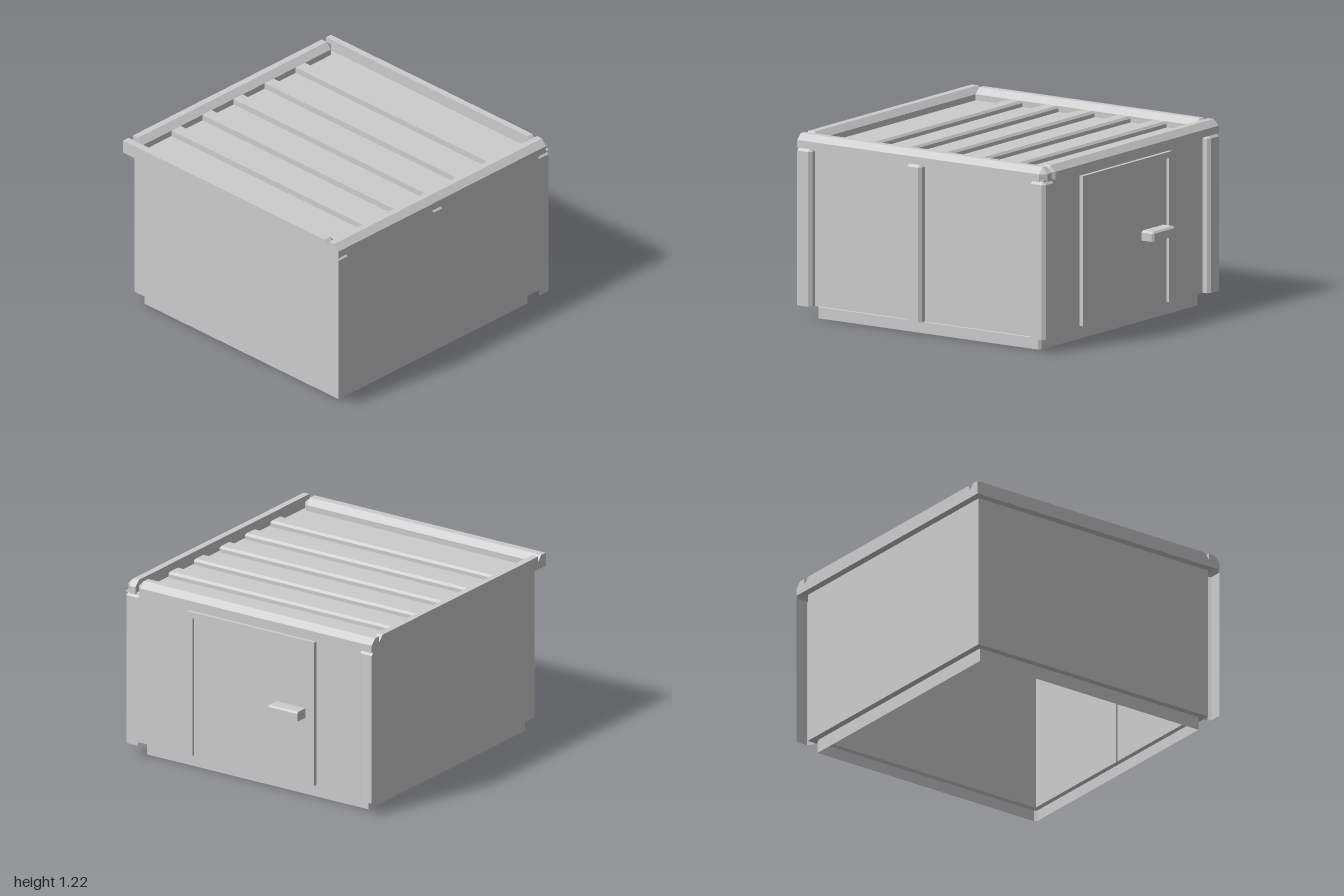
import * as THREE from 'three';

const grey = new THREE.MeshStandardMaterial({ color: 0xcccccc, side: THREE.DoubleSide });
grey.name = 'light grey';

// Block with the three edges at its right/top/back corner chamfered by c.
// Face names listed in `open` (px, nx, py, ny, pz, nz) are left out.
function blockGeometry([x0, x1], [y0, y1], [z0, z1], c, open = []) {
  const a = x1 - c, b = y1 - c, d = z0 + c;
  const faces = {
    px: [[x1, y0, z1], [x1, y0, d], [x1, b, d], [x1, b, z1]],
    nz: [[a, y0, z0], [x0, y0, z0], [x0, b, z0], [a, b, z0]],
    py: [[x0, y1, z1], [a, y1, z1], [a, y1, d], [x0, y1, d]],
    bevelTopRight: [[x1, b, z1], [x1, b, d], [a, y1, d], [a, y1, z1]],
    bevelTopBack: [[a, b, z0], [x0, b, z0], [x0, y1, d], [a, y1, d]],
    bevelSide: [[x1, y0, d], [a, y0, z0], [a, b, z0], [x1, b, d]],
    bevelCorner: [[x1, b, d], [a, b, z0], [a, y1, d]],
    nx: [[x0, y0, z0], [x0, y0, z1], [x0, y1, z1], [x0, y1, d], [x0, b, z0]],
    pz: [[x0, y0, z1], [x1, y0, z1], [x1, b, z1], [a, y1, z1], [x0, y1, z1]],
    ny: [[x0, y0, z0], [a, y0, z0], [x1, y0, d], [x1, y0, z1], [x0, y0, z1]],
  };
  const pos = [];
  for (const [name, p] of Object.entries(faces)) {
    if (open.includes(name)) continue;
    for (let i = 1; i < p.length - 1; i++) pos.push(...p[0], ...p[i], ...p[i + 1]);
  }
  const g = new THREE.BufferGeometry();
  g.setAttribute('position', new THREE.Float32BufferAttribute(pos, 3));
  g.computeVertexNormals();
  return g;
}

// Plain box between two limits on each axis
function boxGeometry([x0, x1], [y0, y1], [z0, z1]) {
  return new THREE.BoxGeometry(x1 - x0, y1 - y0, z1 - z0)
    .translate((x0 + x1) / 2, (y0 + y1) / 2, (z0 + z1) / 2);
}

export function createModel() {
  const model = new THREE.Group();
  model.name = 'shed';
  const add = (name, geometry) => {
    const mesh = new THREE.Mesh(geometry, grey);
    mesh.name = name;
    model.add(mesh);
  };

  // Hollow walls: a rectangular ring extruded upwards
  const rect = (T, x0, x1, z0, z1) => new T().setFromPoints([
    [x0, -z1], [x1, -z1], [x1, -z0], [x0, -z0], [x0, -z1],
  ].map(p => new THREE.Vector2(...p)));
  const ring = rect(THREE.Shape, -0.925, 0.925, -0.9, 0.945);
  ring.holes.push(rect(THREE.Path, -0.88, 0.88, -0.855, 0.9));
  add('walls', new THREE.ExtrudeGeometry(ring, { depth: 1.04, bevelEnabled: false })
    .rotateX(-Math.PI / 2).translate(0, 0.09, 0));

  // Open plinth under the walls
  add('plinth', blockGeometry([-0.88, 0.88], [0, 0.09], [-0.855, 0.9], 0.015, ['ny', 'py']));

  // Corner and middle posts, open behind and below
  const posts = [
    ['frontPost', [0.87, 0.975], [0.895, 1]],
    ['middlePost', [0.87, 0.975], [0.025, 0.125]],
    ['backRightPost', [0.87, 0.975], [-0.955, -0.85]],
    ['backLeftPost', [-0.975, -0.87], [-0.955, -0.85]],
  ];
  for (const [name, x, z] of posts) {
    add(name, blockGeometry(x, [0.09, 1.13], z, 0.02, ['ny', 'pz', 'nx']));
  }

  // Roof deck with raised rails round its edge
  const railY = [1.13, 1.22];
  add('roofDeck', boxGeometry([-0.97, 0.97], [1.13, 1.14], [-0.945, 0.99]));
  add('frontRail', blockGeometry([-0.975, 0.89], railY, [0.91, 1], 0.04));
  add('backRail', blockGeometry([-0.975, 0.89], railY, [-0.955, -0.87], 0.04));
  add('leftRail', blockGeometry([-0.975, -0.89], railY, [-0.87, 0.91], 0.04));
  add('rightRail', blockGeometry([0.89, 0.975], railY, [-0.955, 1], 0.04));

  // Evenly spaced roof slats
  for (let i = 0; i < 5; i++) {
    const z = -0.603 + i * 0.286;
    add('roofSlat', blockGeometry([-0.89, 0.887], [1.13, 1.18], [z, z + 0.1], 0.015));
  }

  // Door frame, door panel and handle on the back wall
  const frameZ = [-0.925, -0.89];
  add('doorJambRight', boxGeometry([0.46, 0.5], [0.1, 1.09], frameZ));
  add('doorJambLeft', boxGeometry([-0.5, -0.46], [0.1, 1.09], frameZ));
  add('doorLintel', boxGeometry([-0.46, 0.46], [1.05, 1.09], frameZ));
  add('doorPanel', boxGeometry([-0.46, 0.46], [0.1, 1.05], [-0.908, -0.89]));
  add('doorHandle', blockGeometry([-0.42, -0.18], [0.55, 0.615], [-1, -0.9], 0.012));

  return model;
}
